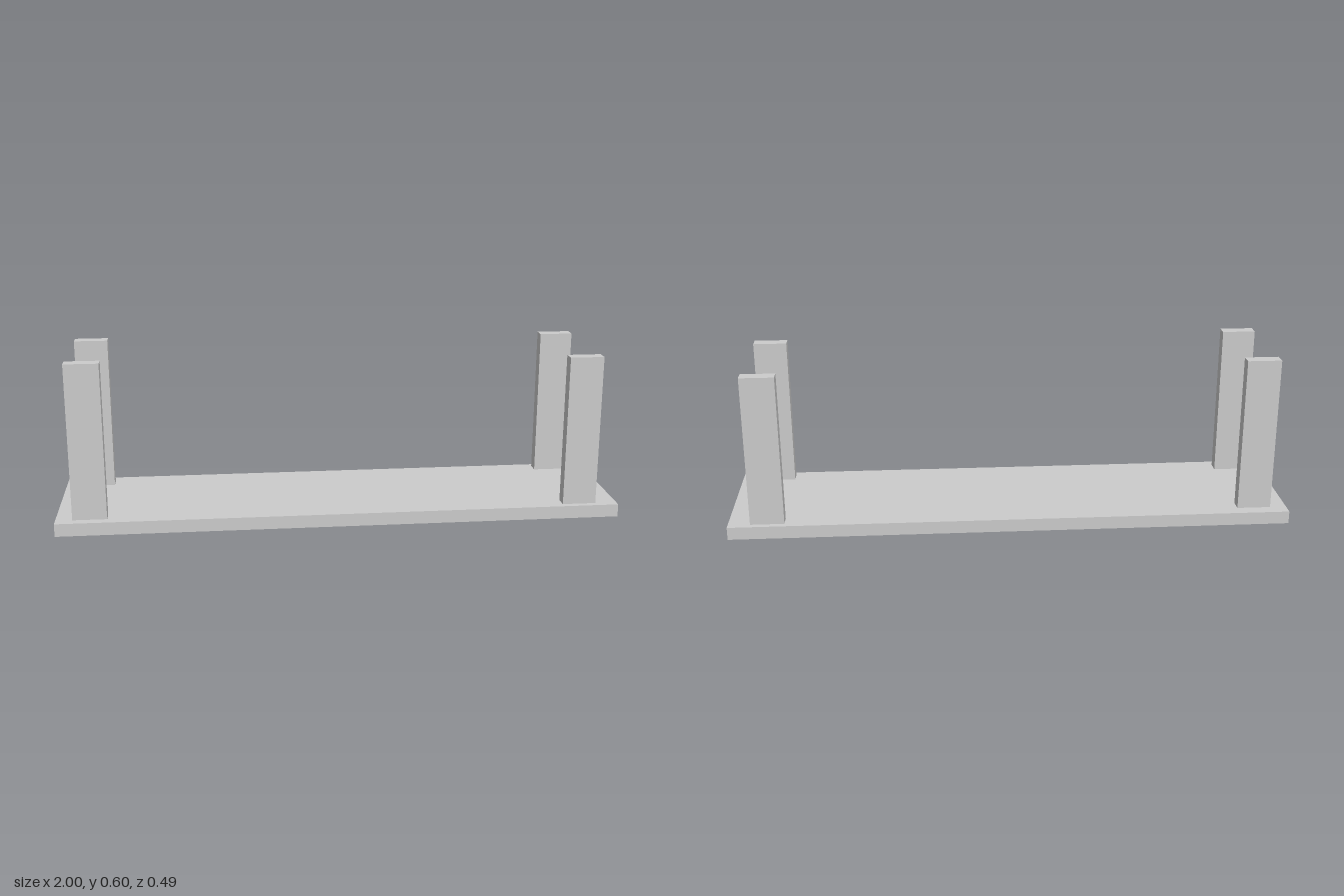
import * as THREE from 'three';

const material = new THREE.MeshStandardMaterial({ color: 0xcccccc, flatShading: true });

const BOARD_TOP = 0.046;
const LEG_WIDTH = 0.12;
const LEG_DEPTH = 0.045;

// Box standing on height y, centred on x and z
function block(name, width, height, depth, x, y, z) {
  const mesh = new THREE.Mesh(new THREE.BoxGeometry(width, height, depth), material);
  mesh.name = name;
  mesh.position.set(x, y + height / 2, z);
  return mesh;
}

export function createModel() {
  const model = new THREE.Group();
  model.name = 'upturnedBench';

  // Long flat board lying on the ground
  model.add(block('board', 2, BOARD_TOP, 0.488, 0, 0, 0));

  // Upright legs: the right pair is slightly taller and closer together
  const legs = [
    ['frontRightLeg', -0.881, 0.602, 0.188],
    ['backRightLeg', -0.881, 0.602, -0.178],
    ['frontLeftLeg', 0.862, 0.587, 0.199],
    ['backLeftLeg', 0.862, 0.587, -0.201],
  ];
  for (const [name, x, top, z] of legs) {
    model.add(block(name, LEG_WIDTH, top - BOARD_TOP, LEG_DEPTH, x, BOARD_TOP, z));
  }

  return model;
}
